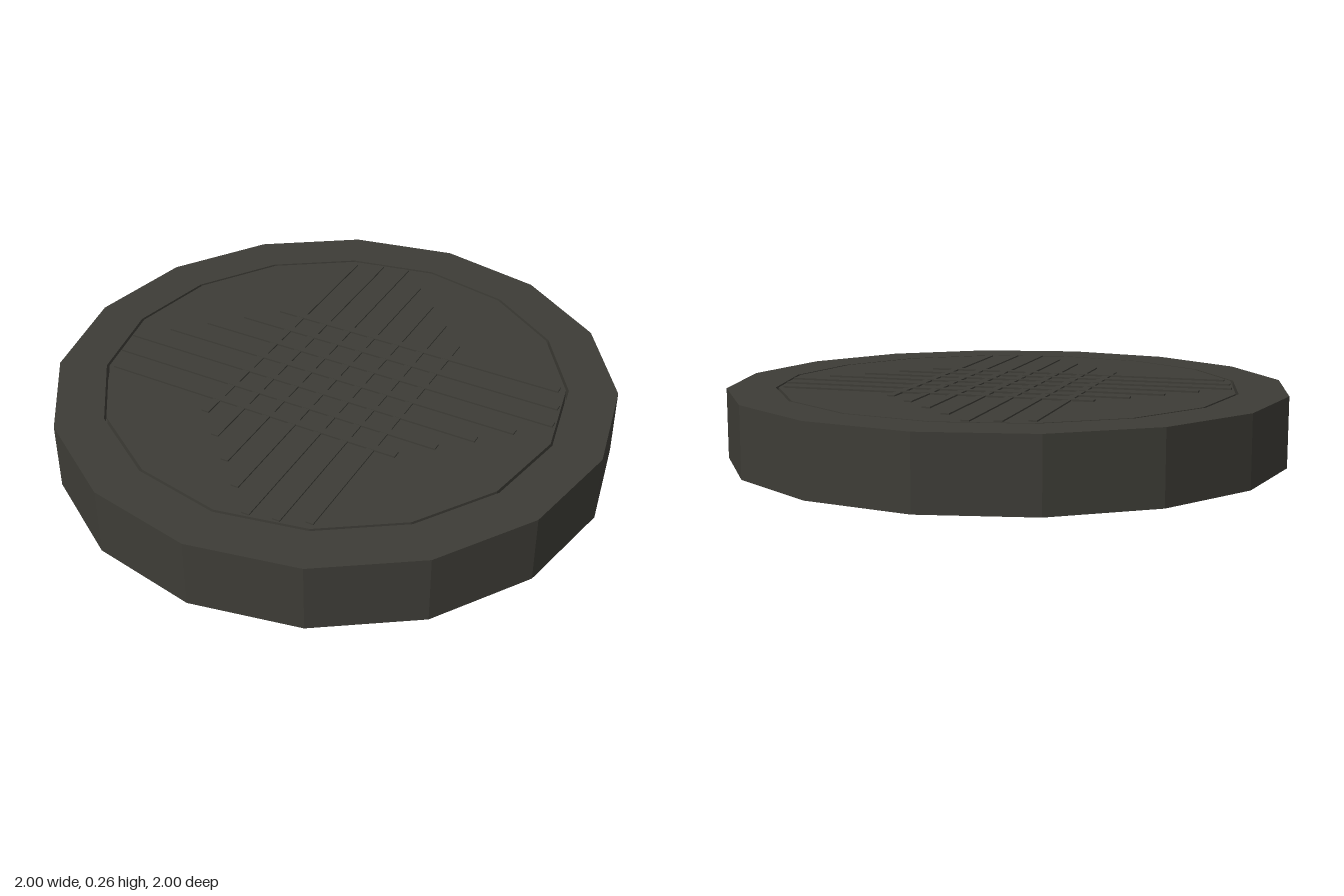
import * as THREE from 'three';

const SIDES = 16;
const TOP = 0.25;      // top of frame and lid
const LEDGE = 0.195;   // ledge that carries the lid
const LID_R = 0.818;

export function createModel() {
  const group = new THREE.Group();
  const iron = new THREE.MeshStandardMaterial({ color: 0x3d3c36, flatShading: true });

  const add = (name, geometry, parent = group) => {
    const mesh = new THREE.Mesh(geometry, iron);
    mesh.name = name;
    parent.add(mesh);
    return mesh;
  };

  // Outer frame: a faceted ring with a ledge inside
  const profile = [
    [0.75, 0], [1, 0], [1, TOP], [0.828, TOP], [0.828, LEDGE], [0.75, LEDGE], [0.75, 0],
  ].map(([r, y]) => new THREE.Vector2(r, y));
  add('frameRing', new THREE.LatheGeometry(profile, SIDES));

  // Lid resting on the ledge, with a thin gap around it
  const lid = add('lid', new THREE.CylinderGeometry(LID_R, LID_R, TOP - LEDGE, SIDES));
  lid.position.y = (TOP + LEDGE) / 2;

  // Two crossing sets of diagonal tread bars, staggered and cut off at the lid edge
  const makeBars = (name, yaw, shift, height) => {
    const bars = new THREE.Group();
    bars.name = name;
    for (let i = -3; i <= 3; i++) {
      const across = i * 0.1;
      const limit = Math.sqrt(0.8 ** 2 - (Math.abs(across) + 0.015) ** 2);
      const start = Math.max(-0.69 + shift * across, -limit);
      const end = Math.min(0.69 + shift * across, limit);
      const bar = add('treadBar', new THREE.BoxGeometry(0.028, height + 0.01, end - start), bars);
      bar.position.set(across, TOP + (height - 0.01) / 2, (start + end) / 2);
    }
    bars.rotation.y = yaw;
    group.add(bars);
  };
  // Local z runs along the bars, local x across them
  makeBars('treadBarsA', Math.PI / 4, 1, 0.006);
  makeBars('treadBarsB', -Math.PI / 4, 1, 0.005);

  return group;
}
